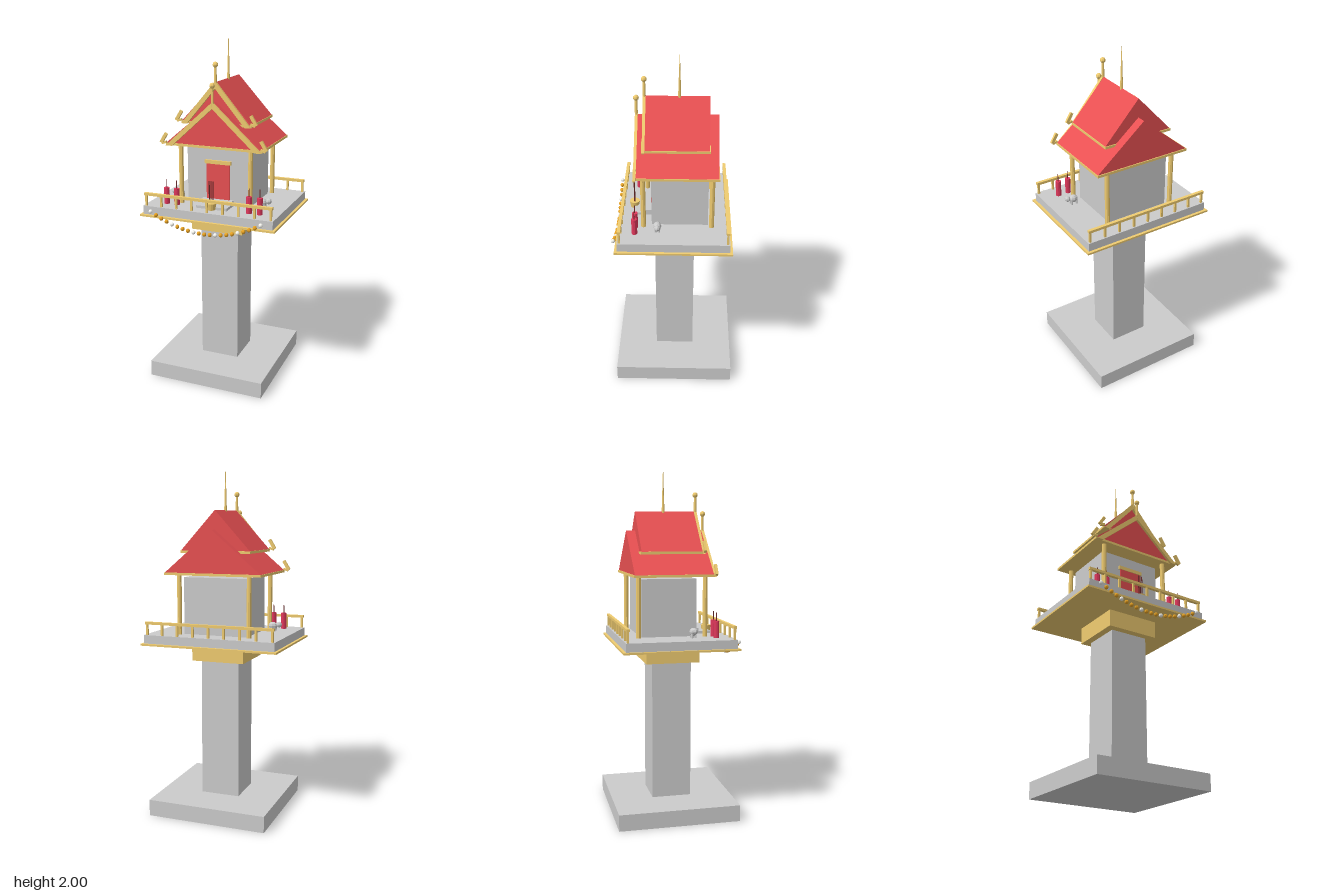
import * as THREE from 'three';

const mat = (color) => new THREE.MeshStandardMaterial({ color, flatShading: true });

export function createModel() {
  const model = new THREE.Group();
  const grey = mat(0xcccccc), gold = mat(0xf0cc70), red = mat(0xe85052);
  const candleRed = mat(0xe0385c), dark = mat(0x6b2a2a), white = mat(0xf4f4ee), orange = mat(0xe8a325);

  const add = (name, geometry, material, x, y, z, parent = model) => {
    const mesh = new THREE.Mesh(geometry, material);
    mesh.name = name;
    mesh.position.set(x, y, z);
    parent.add(mesh);
    return mesh;
  };
  // box given by its extents on each axis
  const box = (name, material, x0, x1, y0, y1, z0, z1, parent) =>
    add(name, new THREE.BoxGeometry(x1 - x0, y1 - y0, z1 - z0), material,
      (x0 + x1) / 2, (y0 + y1) / 2, (z0 + z1) / 2, parent);
  // upright round part standing on y0
  const rod = (name, material, x, z, y0, y1, rTop, rBottom, sides = 8, parent) =>
    add(name, new THREE.CylinderGeometry(rTop, rBottom, y1 - y0, sides), material, x, (y0 + y1) / 2, z, parent);
  const ball = (name, material, r, x, y, z, parent) =>
    add(name, new THREE.SphereGeometry(r, 8, 6), material, x, y, z, parent);

  // pedestal
  box('base', grey, -0.352, 0.352, 0, 0.095, -0.352, 0.352);
  box('pedestal', grey, -0.115, 0.115, 0.095, 0.905, -0.115, 0.115);
  box('capital', gold, -0.157, 0.157, 0.905, 1.005, -0.157, 0.157);

  // platform
  box('platformTrim', gold, -0.405, 0.405, 1.005, 1.016, -0.327, 0.327);
  box('platform', grey, -0.39, 0.39, 1.016, 1.065, -0.311, 0.311);

  // railings along front and back
  for (const z of [-0.298, 0.298]) {
    const railing = new THREE.Group();
    railing.name = z > 0 ? 'frontRailing' : 'backRailing';
    model.add(railing);
    box('rail', gold, -0.384, 0.384, 1.126, 1.141, z - 0.009, z + 0.009, railing);
    for (let i = 0; i < 9; i++) {
      const x = -0.374 + i * 0.0935;
      box('railPost', gold, x - 0.006, x + 0.006, 1.065, 1.126, z - 0.006, z + 0.006, railing);
    }
  }

  // house with door and steps
  box('house', grey, -0.19, 0.19, 1.065, 1.392, -0.19, 0.127);
  box('door', red, -0.07, 0.07, 1.065, 1.303, 0.127, 0.135);
  box('lintel', gold, -0.079, 0.079, 1.303, 1.324, 0.122, 0.139);
  box('lowerStep', grey, -0.093, 0.093, 1.065, 1.08, 0.127, 0.235);
  box('upperStep', grey, -0.093, 0.093, 1.08, 1.098, 0.127, 0.165);

  // corner columns
  for (const x of [-0.21, 0.21])
    for (const z of [-0.21, 0.172]) rod('column', gold, x, z, 1.065, 1.41, 0.014, 0.014);

  // one roof tier: solid gable, eave plate, bargeboards, hooks and finial
  const roofTier = (name, { half, eave, apex, back, front, finialTop, hookX, hookY }) => {
    const tier = new THREE.Group();
    tier.name = name;
    model.add(tier);
    box('eavePlate', gold, -half - 0.003, half + 0.003, eave - 0.014, eave, back - 0.005, front, tier);
    const gable = new THREE.Shape([[-half, eave], [half, eave], [0, apex]].map((p) => new THREE.Vector2(...p)));
    add('roof', new THREE.ExtrudeGeometry(gable, { depth: front - back - 0.003, bevelEnabled: false }), red, 0, 0, back, tier);

    // inverted V of bargeboards
    const w = 0.026, top = apex + 0.006, low = eave - 0.014;
    const drop = w * Math.hypot(half, top - low) / half;
    const inner = half * (1 - drop / (top - low));
    const chevron = new THREE.Shape([[0, top], [-half, low], [-inner, low], [0, top - drop], [inner, low], [half, low]]
      .map((p) => new THREE.Vector2(...p)));
    add('bargeboards', new THREE.ExtrudeGeometry(chevron, { depth: 0.016, bevelEnabled: false }), gold, 0, 0, front - 0.003, tier);

    for (const s of [-1, 1]) {
      const hook = add('eaveHook', new THREE.BoxGeometry(0.018, 0.062, 0.014), gold, s * hookX, hookY, front + 0.005, tier);
      hook.rotation.z = s * 0.55;
      const foot = add('hookFoot', new THREE.BoxGeometry(0.03, 0.012, 0.014), gold,
        s * (hookX - 0.003), hookY - 0.026, front + 0.005, tier);
      foot.rotation.z = -s * 0.3;
    }
    rod('finial', gold, 0, front + 0.005, apex - 0.02, finialTop, 0.007, 0.009, 8, tier);
    ball('finialBall', gold, 0.016, 0, finialTop, front + 0.005, tier);
  };
  roofTier('lowerRoof', { half: 0.285, eave: 1.42, apex: 1.66, back: -0.242, front: 0.205,
    finialTop: 1.755, hookX: 0.298, hookY: 1.447 });
  roofTier('upperRoof', { half: 0.206, eave: 1.544, apex: 1.768, back: -0.19, front: 0.16,
    finialTop: 1.862, hookX: 0.222, hookY: 1.572 });

  // ridge spire
  rod('spire', gold, 0, -0.025, 1.75, 2, 0.001, 0.009);

  // incense pot with sticks
  rod('incensePot', gold, 0, 0.235, 1.065, 1.103, 0.03, 0.024, 16);
  for (const x of [-0.011, 0, 0.011]) rod('incenseStick', dark, x, 0.235, 1.09, 1.23, 0.003, 0.003, 6);

  // candles and small figurines on both sides
  for (const s of [-1, 1]) {
    for (const x of [0.22, 0.283]) {
      rod('candle', candleRed, s * x, 0.219, 1.065, 1.16, 0.016, 0.016, 10);
      rod('wick', dark, s * x, 0.219, 1.16, 1.208, 0.002, 0.003, 5);
    }
    const figurine = new THREE.Group();
    figurine.name = 'figurine';
    model.add(figurine);
    ball('body', grey, 0.023, s * 0.255, 1.098, 0.093, figurine).scale.x = 1.2;
    ball('head', grey, 0.017, s * 0.293, 1.106, 0.093, figurine);
    for (const dx of [-0.014, 0.014])
      for (const dz of [-0.01, 0.01])
        rod('leg', grey, s * 0.255 + dx, 0.093 + dz, 1.065, 1.09, 0.006, 0.006, 6, figurine);
  }

  // hanging garland of beads
  const garland = new THREE.Group();
  garland.name = 'garland';
  model.add(garland);
  for (let i = 0; i <= 20; i++) {
    const t = i / 10 - 1;
    ball('bead', i % 4 === 0 ? white : orange, 0.012, t * 0.33, 0.95 + 0.094 * t * t, 0.336, garland);
  }
  return model;
}
